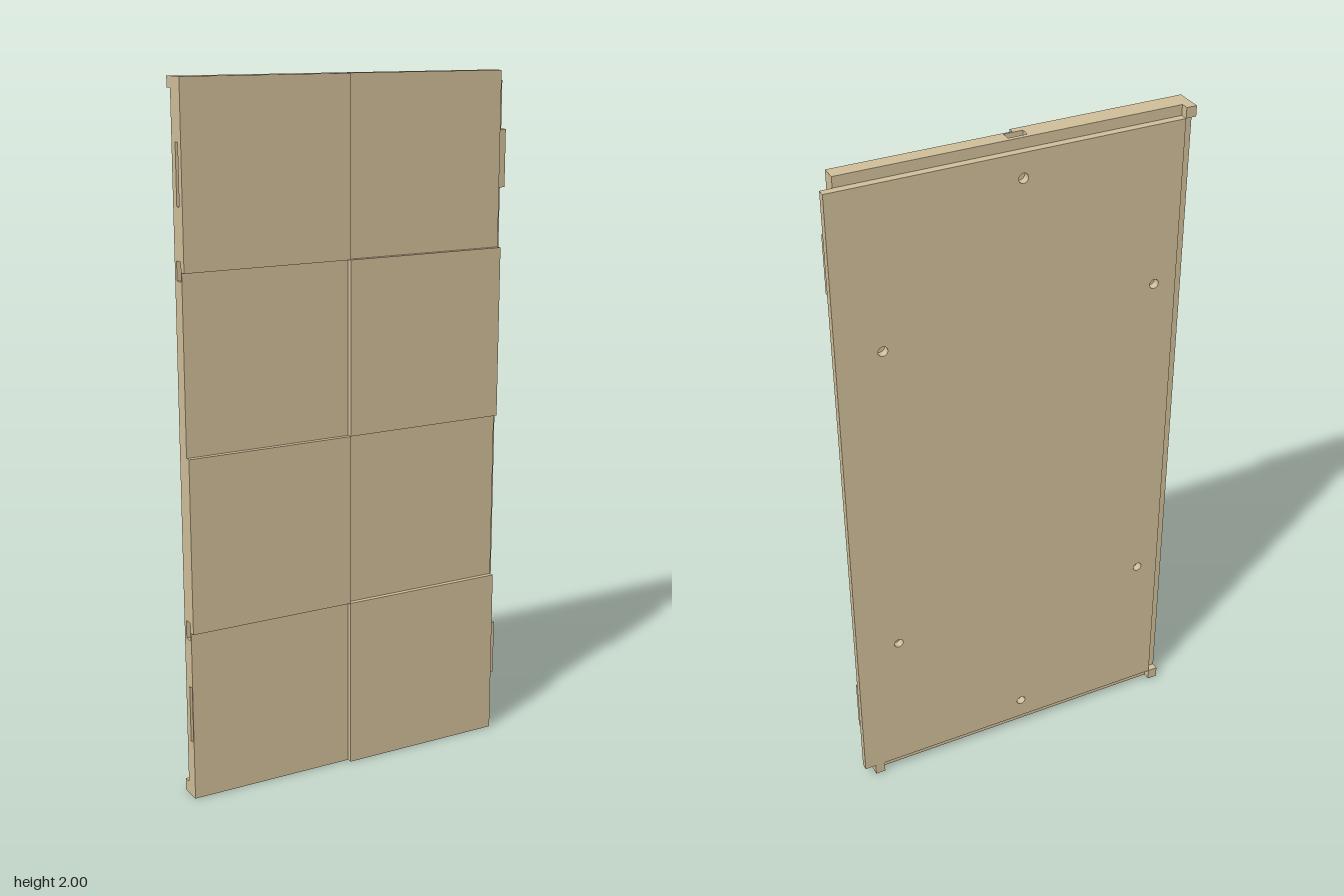
import * as THREE from 'three';

const X0 = -0.515, X1 = 0.48, XC = -0.0175, H = 2;
const BACK = -0.04, REAR = -0.018, FACE = 0.025, FRONT = 0.04;

export function createModel() {
  const group = new THREE.Group();
  const material = new THREE.MeshStandardMaterial({ color: 0xd0be99 });

  const add = (name, geometry) => {
    const mesh = new THREE.Mesh(geometry, material);
    mesh.name = name;
    group.add(mesh);
    return mesh;
  };
  const box = (name, x0, x1, y0, y1, z0, z1) =>
    add(name, new THREE.BoxGeometry(x1 - x0, y1 - y0, z1 - z0))
      .position.set((x0 + x1) / 2, (y0 + y1) / 2, (z0 + z1) / 2);
  const extrude = (name, shape, z0, z1) =>
    add(name, new THREE.ExtrudeGeometry(shape, { depth: z1 - z0, bevelEnabled: false, curveSegments: 10 }))
      .position.z = z0;

  // Outline of one core layer; each edge lists its [start, end, depth] notches
  const layer = (name, z0, z1, { bottom = [], right = [], top = [], left = [] } = {}) => {
    const pts = [[X0, 0]];
    for (const [a, b, d] of bottom) pts.push([a, 0], [a, d], [b, d], [b, 0]);
    pts.push([X1, 0]);
    for (const [a, b, d] of right) pts.push([X1, a], [X1 - d, a], [X1 - d, b], [X1, b]);
    pts.push([X1, H]);
    for (const [a, b, d] of [...top].reverse()) pts.push([b, H], [b, H - d], [a, H - d], [a, H]);
    pts.push([X0, H]);
    for (const [a, b, d] of [...left].reverse()) pts.push([X0, b], [X0 + d, b], [X0 + d, a], [X0, a]);
    extrude(name, new THREE.Shape(pts.map(([x, y]) => new THREE.Vector2(x, y))), z0, z1);
  };

  // Core: pockets at the tile joints, slots that take the neighbouring tabs
  const D = 0.03;
  const jointX = [XC - 0.027, XC + 0.027, D];
  const jointY = [0.5, 1.5].map(y => [y - 0.025, y + 0.028, D]);
  const tabs = [[0.17, 0.335], [1.67, 1.835]];
  const slotY = tabs.map(([a, b]) => [a, b, D]);
  const pockets = { bottom: [jointX], top: [jointX], right: jointY, left: jointY };
  layer('coreRear', REAR, -0.006);
  layer('corePocketLayer', -0.006, 0.005, pockets);
  layer('coreSlotLayer', 0.005, 0.02, {
    ...pockets,
    bottom: [[XC - 0.335, XC - 0.17, D], jointX, [XC + 0.17, XC + 0.335, D]],
    left: [slotY[0], ...jointY, slotY[1]],
  });
  layer('coreFront', 0.02, FACE);

  // Raised tiles in a checker pattern
  for (let row = 0; row < 4; row++) {
    const leftColumn = row % 2 === 1;
    box('raisedTile', leftColumn ? X0 : XC, leftColumn ? XC : X1, row * 0.5, row * 0.5 + 0.5, FACE, FRONT);
  }

  // Offset back sheet with screw holes; its overhang forms the side tongue
  const sheet = new THREE.Shape([
    new THREE.Vector2(X0 + 0.03, 0.035), new THREE.Vector2(X1 + 0.033, 0.035),
    new THREE.Vector2(X1 + 0.033, 1.97), new THREE.Vector2(X0 + 0.03, 1.97),
  ]);
  const holes = [[0, 0.1], [0, 1.9]];
  for (const x of [-0.4, 0.4]) for (const y of [0.5, 1.5]) holes.push([x, y]);
  for (const [x, y] of holes) {
    sheet.holes.push(new THREE.Path().absarc(XC + x, y, 0.014, 0, Math.PI * 2, true));
  }
  extrude('backSheet', sheet, BACK, REAR);

  // Corner blocks in the rear rebate
  box('cornerBlock', X0, X0 + 0.03, 1.97, H, BACK, REAR);
  box('cornerBlock', X0, X0 + 0.03, 0, 0.035, BACK, REAR);
  box('cornerBlock', X1 - 0.03, X1, 0, 0.035, BACK, REAR);

  // Locating tabs on the side edge
  for (const [a, b] of tabs) box('sideTab', X1, X1 + 0.024, a, b, 0.003, 0.018);

  return group;
}
